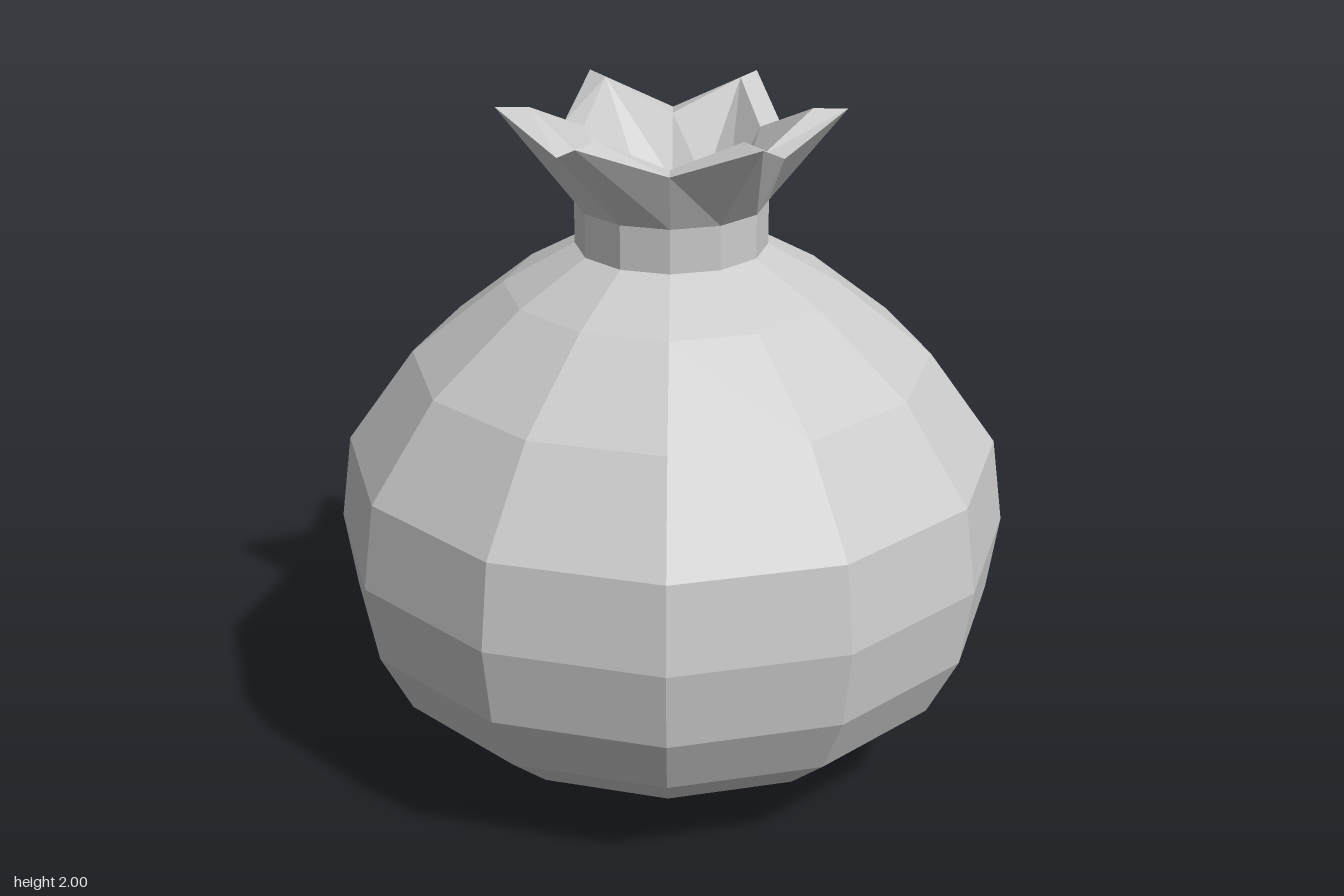
import * as THREE from 'three';

const SIDES = 12;

export function createModel() {
  const group = new THREE.Group();
  const material = new THREE.MeshStandardMaterial({ color: 0xcccccc, flatShading: true });

  // Spin a [radius, height] profile into a faceted twelve-sided part
  const spin = (name, profile) => {
    const points = profile.map(([r, y]) => new THREE.Vector2(r, y));
    const mesh = new THREE.Mesh(new THREE.LatheGeometry(points, SIDES), material);
    mesh.name = name;
    group.add(mesh);
    return mesh;
  };

  // Round fruit body with a small flat base
  spin('body', [
    [0, 0], [0.25, 0], [0.5, 0.08], [0.71, 0.17], [0.87, 0.305], [0.965, 0.49],
    [1, 0.725], [0.965, 0.98], [0.765, 1.26], [0.49, 1.48], [0.28, 1.6], [0, 1.6],
  ]);

  // Short neck
  spin('neck', [[0.28, 1.6], [0.28, 1.73]]);

  // Flared crown: outer wall, rim, inner wall and floor, shaped at the tips
  const rim = [[0.5, 2], [0.4, 2]];
  const notch = [[0.365, 1.905], [0.295, 1.905]];
  const crown = spin('crown', [[0.28, 1.73], ...rim, [0.19, 1.73], [0, 1.73]]);

  // Pull every second rim corner in and down to make a six-pointed star
  const position = crown.geometry.attributes.position;
  for (let i = 1; i < SIDES; i += 2) {
    const angle = (i / SIDES) * Math.PI * 2;
    notch.forEach(([r, y], k) => {
      position.setXYZ(i * 5 + 1 + k, r * Math.sin(angle), y, r * Math.cos(angle));
    });
  }
  crown.geometry.computeVertexNormals();

  return group;
}
